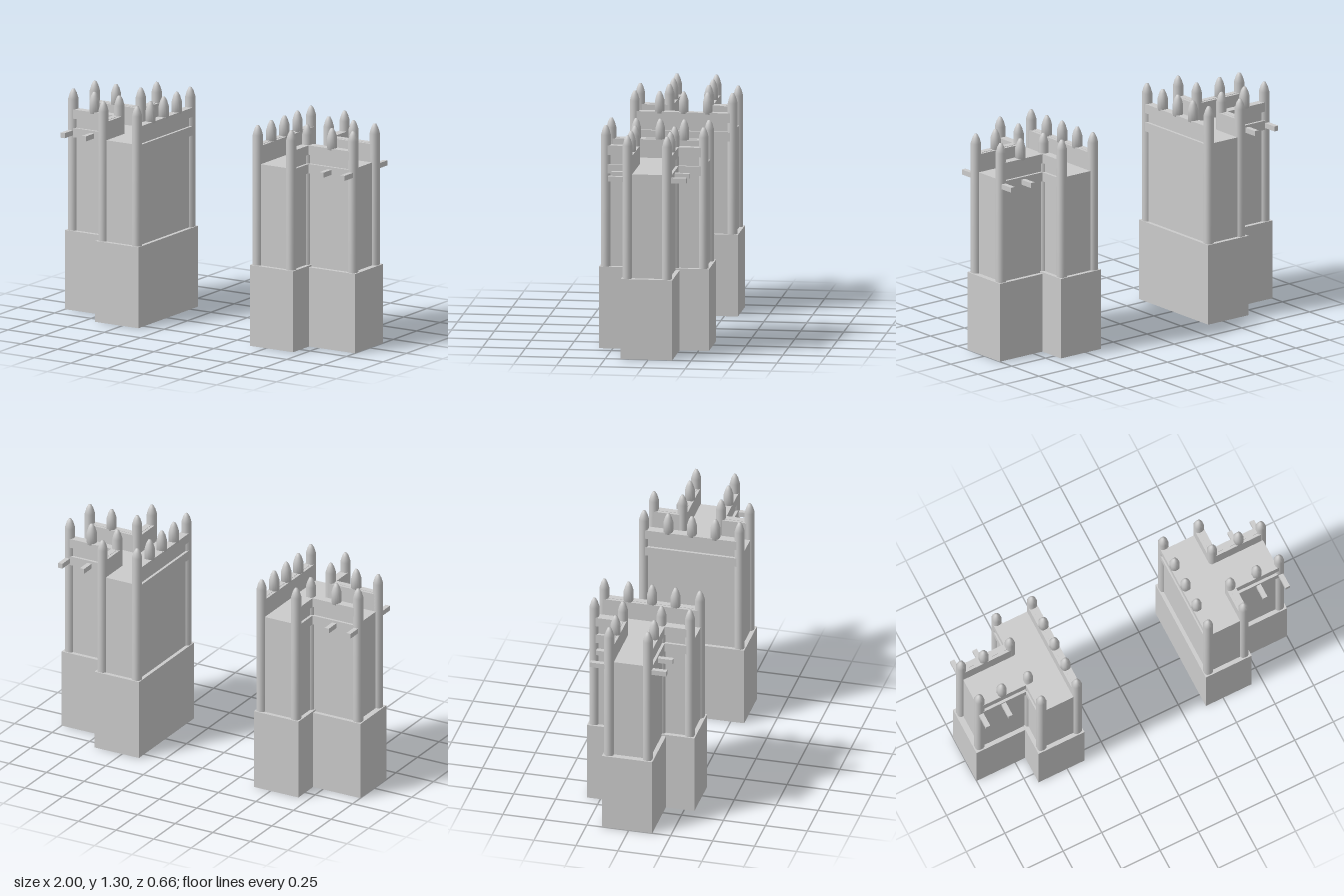
import * as THREE from 'three';

const material = new THREE.MeshStandardMaterial({ color: 0xcccccc, side: THREE.DoubleSide });

function add(group, name, geometry) {
  const mesh = new THREE.Mesh(geometry, material);
  mesh.name = name;
  group.add(mesh);
  return mesh;
}

// Box given by its limits on each axis
function box(group, name, [x0, x1], [y0, y1], [z0, z1]) {
  const mesh = add(group, name, new THREE.BoxGeometry(x1 - x0, y1 - y0, z1 - z0));
  mesh.position.set((x0 + x1) / 2, (y0 + y1) / 2, (z0 + z1) / 2);
  return mesh;
}

// Plinth: a box without a bottom
function plinth(group, name, xs, ys, zs) {
  const geometry = box(group, name, xs, ys, zs).geometry;
  const index = Array.from(geometry.index.array);
  index.splice(18, 6);
  geometry.setIndex(index);
  geometry.clearGroups();
}

// Pointed stake with a softly rounded square section
function stake(group, name, x, z, bottom) {
  const profile = [[0, bottom], [0.027, bottom], [0.027, 1.25], [0.018, 1.284], [0.008, 1.305], [0, 1.305]]
    .map(([r, y]) => new THREE.Vector2(r, y));
  const geometry = new THREE.LatheGeometry(profile, 16);
  const p = geometry.attributes.position;
  for (let i = 0; i < p.count; i++) {
    const r = Math.hypot(p.getX(i), p.getZ(i));
    const side = Math.max(Math.abs(p.getX(i)), Math.abs(p.getZ(i)));
    const k = side > 1e-6 ? Math.min(r / side, 1.13) : 1;
    p.setX(i, p.getX(i) * k);
    p.setZ(i, p.getZ(i) * k);
  }
  add(group, name, geometry).position.set(x, 0, z);
}

// Parapet along one axis: an inner wall with two planks on its outer face
function parapet(group, alongX, [a0, a1], centre, out) {
  const put = (name, c0, c1, y0, y1) => {
    const across = [Math.min(c0, c1), Math.max(c0, c1)];
    if (alongX) box(group, name, [a0, a1], [y0, y1], across);
    else box(group, name, across, [y0, y1], [a0, a1]);
  };
  put('parapetWall', centre - out * 0.027, centre + out * 0.01, 1.07, 1.188);
  put('upperPlank', centre - out * 0.01, centre + out * 0.026, 1.135, 1.19);
  put('lowerPlank', centre, centre + out * 0.026, 1.025, 1.08);
}

function createTower() {
  const tower = new THREE.Group();
  const inner = 0.42, outer = 0.65, end = 0.965, mainZ = 0.285, wingZ = 0.115;

  // Plinths and walled bodies
  plinth(tower, 'mainBase', [0.388, 0.685], [0, 0.48], [-0.32, 0.32]);
  plinth(tower, 'wingBase', [0.685, 1], [0, 0.47], [-0.15, 0.15]);
  box(tower, 'mainBody', [0.41, 0.66], [0.47, 1.08], [-0.295, 0.295]);
  box(tower, 'wingBody', [0.64, end], [0.46, 1.08], [-0.125, 0.125]);

  // Inner long side
  parapet(tower, false, [-mainZ, mainZ], inner, -1);
  for (const z of [-0.14, 0, 0.14]) stake(tower, 'shortStake', inner, z, 1.18);

  for (const s of [-1, 1]) {
    // Full-height corner stakes
    stake(tower, 'cornerStake', inner, s * mainZ, 0.475);
    stake(tower, 'cornerStake', outer, s * mainZ, 0.475);
    stake(tower, 'cornerStake', outer, s * wingZ, 0.47);
    stake(tower, 'cornerStake', end, s * wingZ, 0.465);

    // Shoulder and wing parapets
    parapet(tower, false, s > 0 ? [wingZ, mainZ] : [-mainZ, -wingZ], outer, 1);
    parapet(tower, true, [outer, end], s * wingZ, s);
    stake(tower, 'shortStake', 0.82, s * wingZ, 1.18);

    // Projecting beam ends
    for (const x of [0.82, end]) {
      box(tower, 'beamEnd', [x - 0.014, x + 0.014], [1.036, 1.066], s > 0 ? [0.11, 0.228] : [-0.228, -0.11]);
    }
  }
  return tower;
}

export function createModel() {
  const model = new THREE.Group();
  model.name = 'gateTowers';
  const left = createTower();
  left.name = 'leftTower';
  left.position.z = 0.01;
  // Second tower is the first turned half round
  const right = createTower();
  right.name = 'rightTower';
  right.rotation.y = Math.PI;
  right.position.z = -0.01;
  model.add(left, right);
  return model;
}
